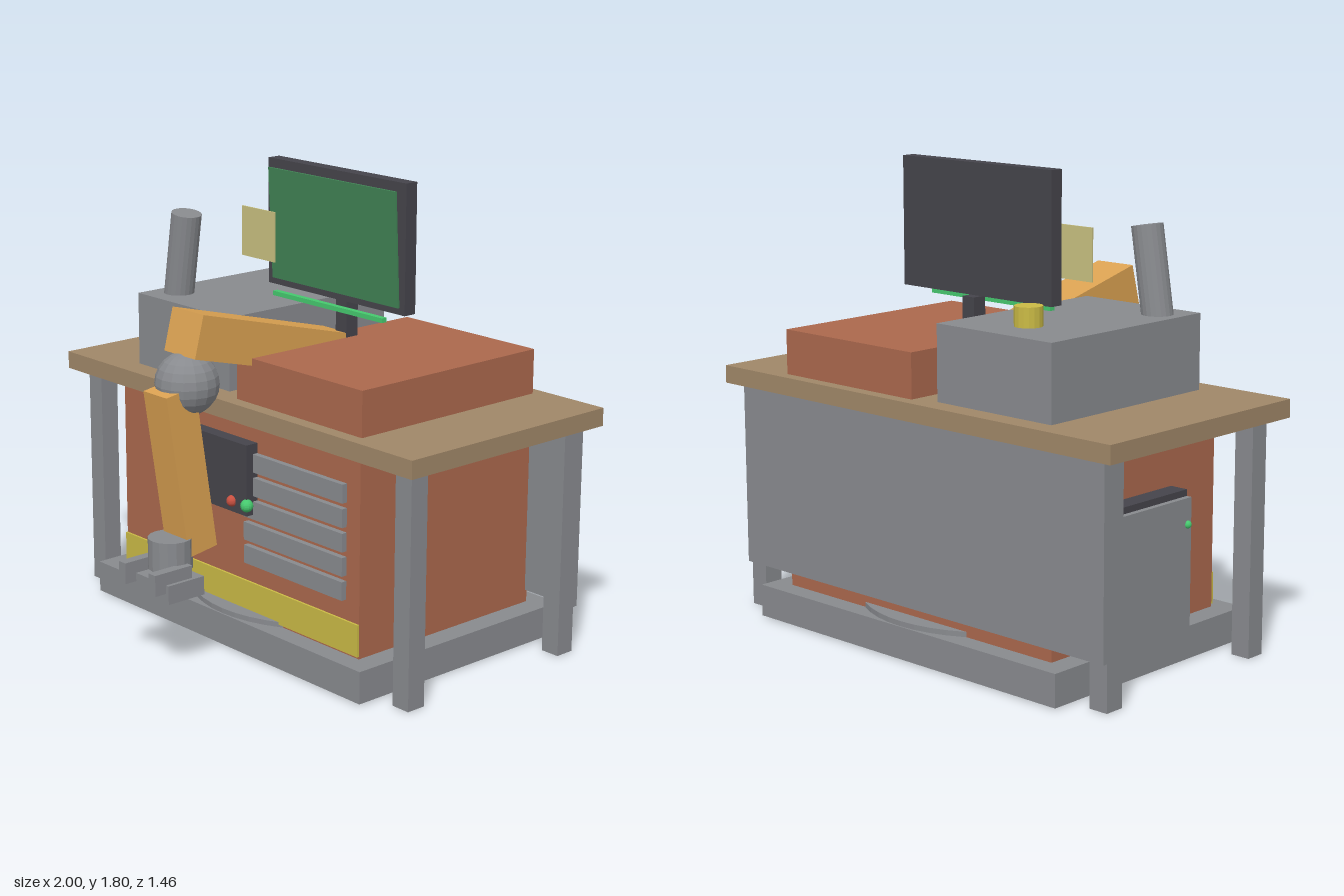
import * as THREE from 'three';

const paint = (name, color) => new THREE.MeshStandardMaterial({ name, color, flatShading: true });

export function createModel() {
  const model = new THREE.Group();
  model.name = 'robotWorkbench';
  const wood = paint('wood', 0xa08768), rust = paint('rust', 0xab684d), grey = paint('grey', 0x888a8e),
    gold = paint('gold', 0xdba252), yellow = paint('yellow', 0xcaba45), dark = paint('dark', 0x45444b),
    screenGreen = paint('screenGreen', 0x418455), lime = paint('lime', 0x46c86e),
    cream = paint('cream', 0xc8c080), red = paint('red', 0xc85040);

  const add = (name, geometry, material, x, y, z) => {
    const mesh = new THREE.Mesh(geometry, material);
    mesh.name = name;
    mesh.position.set(x, y, z);
    model.add(mesh);
    return mesh;
  };
  // box given by its limits on each axis
  const box = (name, material, x0, x1, y0, y1, z0, z1) =>
    add(name, new THREE.BoxGeometry(x1 - x0, y1 - y0, z1 - z0), material,
      (x0 + x1) / 2, (y0 + y1) / 2, (z0 + z1) / 2);
  const cylinder = (name, material, r, h, x, y, z, sides = 16) =>
    add(name, new THREE.CylinderGeometry(r, r, h, sides), material, x, y, z);
  const ball = (name, material, r, x, y, z) =>
    add(name, new THREE.SphereGeometry(r, 16, 12), material, x, y, z);

  // desk
  box('deskTop', wood, -1, 1, 0.905, 0.975, -0.7, 0.3);
  for (const x of [-0.9, 0.9]) for (const z of [-0.6, 0.2])
    box('deskLeg', grey, x - 0.04, x + 0.04, 0, 0.905, z - 0.04, z + 0.04);
  box('backPanel', grey, -0.94, 0.94, 0.18, 0.905, -0.66, -0.64);

  // base with turntable, underside plates and feet
  box('base', grey, -0.78, 0.78, 0.004, 0.13, -0.73, 0.33);
  cylinder('turntable', grey, 0.525, 0.02, 0, 0.14, -0.2, 48);
  const underPlates = [
    [[0.42, -0.31], [0.38, -0.57], [-0.01, -0.585]],
    [[0.5, 0.25], [0.42, -0.08], [-0.29, -0.57], [-0.57, -0.62], [-0.61, 0.12]],
  ];
  for (const points of underPlates) {
    const shape = new THREE.Shape(points.map(([x, z]) => new THREE.Vector2(x, z)));
    const plate = add('undersidePlate',
      new THREE.ExtrudeGeometry(shape, { depth: 0.003, bevelEnabled: false }), yellow, 0, 0.005, 0);
    plate.rotation.x = Math.PI / 2;
  }
  for (const x of [-0.62, 0.62]) for (const z of [-0.54, 0.21])
    cylinder('foot', dark, 0.04, 0.004, x, 0.003, z);

  // cabinet below the desk
  box('cabinet', rust, -0.69, 0.69, 0.13, 0.905, -0.65, 0.25);
  box('frontStripe', yellow, -0.69, 0.69, 0.14, 0.265, 0.25, 0.259);
  for (let i = 0; i < 5; i++) {
    const y = 0.38 + i * 0.0935;
    box('ventSlat', grey, 0.07, 0.62, y - 0.036, y + 0.036, 0.25, 0.273);
  }
  box('controlPanel', dark, -0.25, 0.125, 0.55, 0.83, 0.25, 0.305);
  ball('greenButton', lime, 0.025, 0.123, 0.592, 0.302);
  ball('redButton', red, 0.022, 0.04, 0.592, 0.305);

  // side locker
  box('locker', dark, -0.765, -0.69, 0.13, 0.65, -0.45, 0);
  box('lockerDoor', grey, -0.787, -0.765, 0.08, 0.625, -0.44, 0);
  ball('lockerLight', lime, 0.015, -0.787, 0.525, -0.02);

  // blocks on the desk
  box('rustBlock', rust, 0.003, 0.69, 0.975, 1.15, -0.65, 0.245);
  box('greyBlock', grey, -0.655, -0.095, 0.975, 1.265, -0.615, 0.2);
  cylinder('knob', yellow, 0.053, 0.08, -0.375, 1.3, -0.43);
  const stack = cylinder('leaningPipe', grey, 0.06, 0.36, -0.53, 1.415, 0.073, 20);
  stack.rotation.z = -0.16;

  // monitor
  box('monitorStand', dark, 0.03, 0.09, 1.13, 1.305, -0.295, -0.235);
  box('monitor', dark, -0.325, 0.445, 1.305, 1.805, -0.255, -0.2);
  const screen = box('screen', screenGreen, -0.29, 0.42, 1.332, 1.775, -0.186, -0.178);
  screen.rotation.x = 0.05;
  box('lightBar', lime, -0.25, 0.37, 1.272, 1.29, -0.18, -0.156);
  box('notePlate', cream, -0.45, -0.255, 1.4, 1.6, -0.174, -0.168);

  // robot arm
  box('shoulderMount', grey, -0.095, 0.09, 0.975, 1.08, -0.39, -0.05);
  ball('shoulderJoint', gold, 0.05, 0, 1.1, -0.36);
  const upper = add('upperArm', new THREE.BoxGeometry(0.18, 0.166, 0.78), gold, 0, 1.175, 0.12);
  upper.rotation.x = -0.255;
  ball('elbow', grey, 0.122, 0, 1.08, 0.485);
  const fore = add('forearm', new THREE.BoxGeometry(0.137, 0.645, 0.137), gold, 0.002, 0.755, 0.522);
  fore.rotation.x = 0.15;
  cylinder('wrist', grey, 0.085, 0.12, 0, 0.44, 0.575);
  box('palm', grey, -0.125, 0.125, 0.29, 0.363, 0.515, 0.685);
  for (const x of [-0.09, 0.09])
    box('finger', grey, x - 0.02, x + 0.02, 0.33, 0.412, 0.56, 0.735);

  return model;
}
